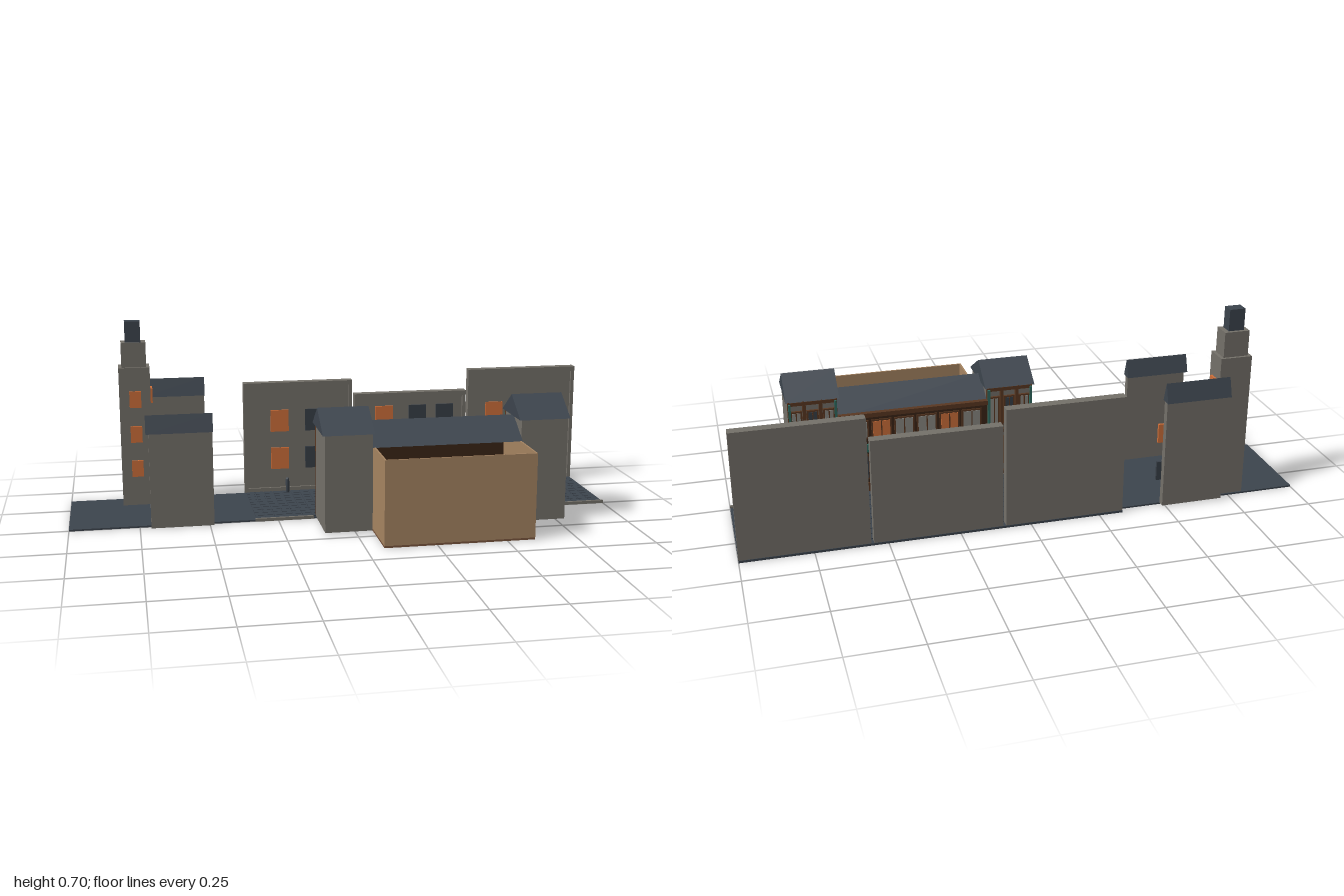
import * as THREE from 'three';
import { mergeGeometries } from 'three/addons/utils/BufferGeometryUtils.js';

const mat = (name, color) => Object.assign(new THREE.MeshStandardMaterial({ color }), { name });

export function createModel() {
  const root = new THREE.Group();
  root.name = 'streetSet';
  const stone = mat('stone', 0x75716a), slate = mat('slate', 0x3d454e), glow = mat('glowingWindow', 0xd0703a);
  const glass = mat('darkGlass', 0x383f47), plaster = mat('tanPlaster', 0xa78562), floorWood = mat('floorWood', 0x7a563e);
  const timber = mat('timber', 0x5a3822), darkWood = mat('darkWood', 0x3a2516), teal = mat('tealPaint', 0x2f6b60);
  const pale = mat('palePane', 0x8b8a84);

  const add = (parent, name, geo, m) => {
    const mesh = new THREE.Mesh(geo, m);
    mesh.name = name;
    parent.add(mesh);
    return mesh;
  };
  // Box given by its limits on each axis
  const boxGeo = (x0, x1, y0, y1, z0, z1) => new THREE.BoxGeometry(x1 - x0, y1 - y0, z1 - z0)
    .translate((x0 + x1) / 2, (y0 + y1) / 2, (z0 + z1) / 2);
  const box = (p, name, m, ...lim) => add(p, name, boxGeo(...lim), m);
  // Gable prism with its ridge along x
  const gable = (p, name, x0, x1, y0, y1, z0, z1, zr) => {
    const s = new THREE.Shape([new THREE.Vector2(-z0, y0), new THREE.Vector2(-z1, y0), new THREE.Vector2(-zr, y1)]);
    const g = new THREE.ExtrudeGeometry(s, { depth: x1 - x0, bevelEnabled: false });
    g.rotateY(Math.PI / 2).translate(x0, 0, 0);
    return add(p, name, g, slate);
  };
  const group = (name) => {
    const g = new THREE.Group();
    g.name = name;
    root.add(g);
    return g;
  };

  // Street slab, kerb and paving stones
  const street = group('street');
  box(street, 'groundSlab', slate, -1, 1, 0.002, 0.008, -0.36, 0.003);
  box(street, 'wallFooting', slate, -0.335, 1, 0.002, 0.01, -0.385, -0.36);
  for (const [x0, x1] of [[-0.335, -0.12], [0.78, 1]]) box(street, 'kerb', stone, x0, x1, 0.003, 0.014, 0, 0.01);
  const stones = [];
  const nx = 38, nz = 10, sx = 1.32 / nx, sz = 0.035;
  for (let i = 0; i < nx; i++) for (let j = 0; j < nz; j++) {
    const x = -0.33 + i * sx, z = -0.352 + j * sz;
    stones.push(boxGeo(x, x + sx - 0.004, 0.007, 0.0115, z, z + sz - 0.004));
  }
  add(street, 'pavingStones', mergeGeometries(stones), slate);

  // Row of house fronts across the street: left, right, height, window centres
  const rows = [[-0.335, 0.09, 0.445, [-0.195, -0.06, 0.04]], [0.1, 0.55, 0.388, [0.22, 0.355, 0.465]],
    [0.56, 1, 0.47, [0.67, 0.8, 0.925]]];
  for (const [x0, x1, h, cols] of rows) {
    const g = group('houseFront');
    box(g, 'wall', stone, x0, x1, 0.01, h - 0.01, -0.383, -0.362);
    box(g, 'cornice', stone, x0, x1, h - 0.018, h, -0.385, -0.35);
    box(g, 'plinth', stone, x0, x1, 0.01, 0.025, -0.383, -0.354);
    for (const x of [x0, x1 - 0.013]) box(g, 'pilaster', stone, x, x + 0.013, 0.01, h - 0.018, -0.383, -0.352);
    cols.forEach((x, i) => {
      for (const y of [0.1, 0.25])
        box(g, 'window', i === 0 ? glow : glass, x - 0.035, x + 0.035, y, y + 0.085, -0.363, -0.355);
    });
  }

  // Two thin gabled houses at the left end
  const farHouse = group('farHouse');
  box(farHouse, 'wall', stone, -0.71, -0.485, 0.008, 0.41, -0.385, -0.36);
  gable(farHouse, 'roof', -0.72, -0.483, 0.405, 0.473, -0.395, -0.352, -0.373);
  for (const x of [-0.61, -0.5]) {
    box(farHouse, 'litWindow', glow, x - 0.033, x + 0.033, 0.245, 0.315, -0.361, -0.352);
    box(farHouse, 'darkWindow', glass, x - 0.033, x + 0.033, 0.1, 0.17, -0.361, -0.352);
  }
  const nearHouse = group('nearHouse');
  box(nearHouse, 'wall', stone, -0.71, -0.485, 0.003, 0.355, 0, 0.023);
  gable(nearHouse, 'roof', -0.72, -0.483, 0.35, 0.415, -0.01, 0.033, 0.012);

  // Stepped tower
  const tower = group('steppedTower');
  box(tower, 'shaft', stone, -0.805, -0.69, 0.008, 0.535, -0.355, -0.27);
  box(tower, 'upperStage', stone, -0.793, -0.702, 0.535, 0.627, -0.345, -0.28);
  box(tower, 'cap', slate, -0.777, -0.72, 0.627, 0.705, -0.333, -0.29);
  for (const y of [0.13, 0.262, 0.395]) {
    box(tower, 'frontWindow', glow, -0.768, -0.725, y - 0.01, y + 0.052, -0.271, -0.262);
    box(tower, 'sideWindow', glow, -0.691, -0.682, y, y + 0.057, -0.336, -0.29);
  }

  // Open room behind the shop
  const room = group('backRoom');
  box(room, 'floor', floorWood, 0.062, 0.598, 0.004, 0.011, 0.025, 0.393);
  box(room, 'endWall', plaster, 0.062, 0.598, 0.011, 0.313, 0.387, 0.393);
  for (const x of [0.062, 0.592]) box(room, 'sideWall', plaster, x, x + 0.006, 0.011, 0.313, 0.025, 0.387);
  // Furniture: cabinets, counter and bottles
  for (const x of [0.083, 0.498]) {
    box(room, 'cabinet', timber, x, x + 0.082, 0.011, 0.1, 0.3, 0.357);
    for (let i = 0; i < 3; i++) box(room, 'cabinetRib', darkWood, x + 0.01 + i * 0.025, x + 0.022 + i * 0.025, 0.011, 0.105, 0.293, 0.3);
  }
  box(room, 'counter', timber, 0.21, 0.455, 0.011, 0.09, 0.345, 0.37);
  box(room, 'counterShelf', darkWood, 0.21, 0.455, 0.055, 0.062, 0.328, 0.345);
  for (let i = 0; i < 12; i++)
    add(room, 'bottle', new THREE.CylinderGeometry(0.005, 0.006, 0.025, 8).translate(0.222 + i * 0.02, 0.0745, 0.335), i % 3 ? glass : teal);

  // Window with a frame and mullion, facing the street
  const pane = (p, x0, x1, y0, y1, m, z = -0.001) => {
    box(p, 'windowFrame', timber, x0 - 0.006, x1 + 0.006, y0 - 0.006, y1 + 0.006, z - 0.003, z + 0.008);
    box(p, 'windowPane', m, x0, x1, y0, y1, z - 0.005, z);
    box(p, 'mullion', timber, (x0 + x1) / 2 - 0.002, (x0 + x1) / 2 + 0.002, y0, y1, z - 0.007, z);
  };

  // Side wings of the shop: left, right, eave, back, roof back
  for (const [x0, x1, eave, zb, zr] of [[-0.112, 0.058, 0.365, 0.213, 0.225], [0.602, 0.775, 0.388, 0.198, 0.207]]) {
    const g = group('shopWing');
    box(g, 'walls', stone, x0, x1, 0.011, eave, 0.012, zb);
    gable(g, 'roof', x0 - 0.009, x1 + 0.006, eave - 0.002, eave + 0.073, -0.004, zr, 0.1);
    const w = (x1 - x0) / 3;
    for (let i = 0; i < 4; i++) {
      const x = x0 + i * w;
      box(g, 'post', timber, Math.max(x0, x - 0.006), Math.min(x1, x + 0.006), 0.015, eave, -0.002, 0.013);
    }
    for (const y of [0.015, 0.185, eave - 0.014]) box(g, 'rail', timber, x0, x1, y, y + 0.013, -0.004, 0.013);
    for (let i = 0; i < 3; i++) {
      const x = x0 + i * w;
      pane(g, x + 0.014, x + w - 0.014, 0.225, eave - 0.045, i === 1 ? glass : pale, 0.006);
      pane(g, x + 0.014, x + w - 0.014, 0.06, 0.16, glass, 0.006);
    }
    for (const x of [x0 + 0.002, x1 - 0.01]) box(g, 'tealPost', teal, x, x + 0.008, 0.05, eave - 0.006, -0.012, -0.002);
  }

  // Middle shopfront
  const shop = group('shopfront');
  box(shop, 'frontWall', darkWood, 0.058, 0.602, 0.011, 0.316, 0, 0.024);
  gable(shop, 'roof', 0.058, 0.602, 0.312, 0.386, -0.004, 0.215, 0.1);
  box(shop, 'cornice', timber, 0.058, 0.602, 0.306, 0.322, -0.015, 0.004);
  box(shop, 'signBoard', teal, 0.075, 0.585, 0.168, 0.198, -0.01, 0.002);
  box(shop, 'baseBoard', timber, 0.058, 0.602, 0.011, 0.045, -0.006, 0.002);
  for (let i = 0; i < 6; i++) {
    const x = 0.085 + i * 0.083;
    pane(shop, x, x + 0.062, 0.225, 0.285, i % 3 === 1 ? glow : pale);
    if (i !== 3) pane(shop, x, x + 0.062, 0.065, 0.15, glass);
  }
  box(shop, 'door', timber, 0.334, 0.396, 0.012, 0.155, -0.006, 0.002);
  for (const x of [0.062, 0.32, 0.404, 0.59]) box(shop, 'tealPilaster', teal, x, x + 0.008, 0.02, 0.168, -0.01, 0.002);

  // Hanging lanterns on brackets
  for (const x of [-0.03, 0.69]) {
    box(root, 'lanternBracket', timber, x - 0.004, x + 0.004, 0.234, 0.241, -0.025, 0.012);
    box(root, 'lantern', glow, x - 0.011, x + 0.011, 0.203, 0.234, -0.031, -0.01);
    box(root, 'lanternBase', timber, x - 0.008, x + 0.008, 0.19, 0.203, -0.026, -0.013);
  }

  // Round-topped bollards and crates
  for (const [x, z, r] of [[-0.17, -0.335, 0.007], [-0.06, -0.035, 0.01], [0.735, -0.035, 0.01]]) {
    const pts = [[0, 0], [r, 0], [r, 0.052], [r * 0.7, 0.058], [0, 0.06]].map(([a, b]) => new THREE.Vector2(a, b));
    add(root, 'bollard', new THREE.LatheGeometry(pts, 12).translate(x, 0.01, z), slate);
  }
  for (const x of [-0.1, -0.045, 0.71]) {
    box(root, 'crate', timber, x, x + 0.035, 0.0115, 0.052, -0.04, -0.007);
    box(root, 'crateLid', darkWood, x - 0.002, x + 0.037, 0.047, 0.055, -0.042, -0.005);
  }
  return root;
}
